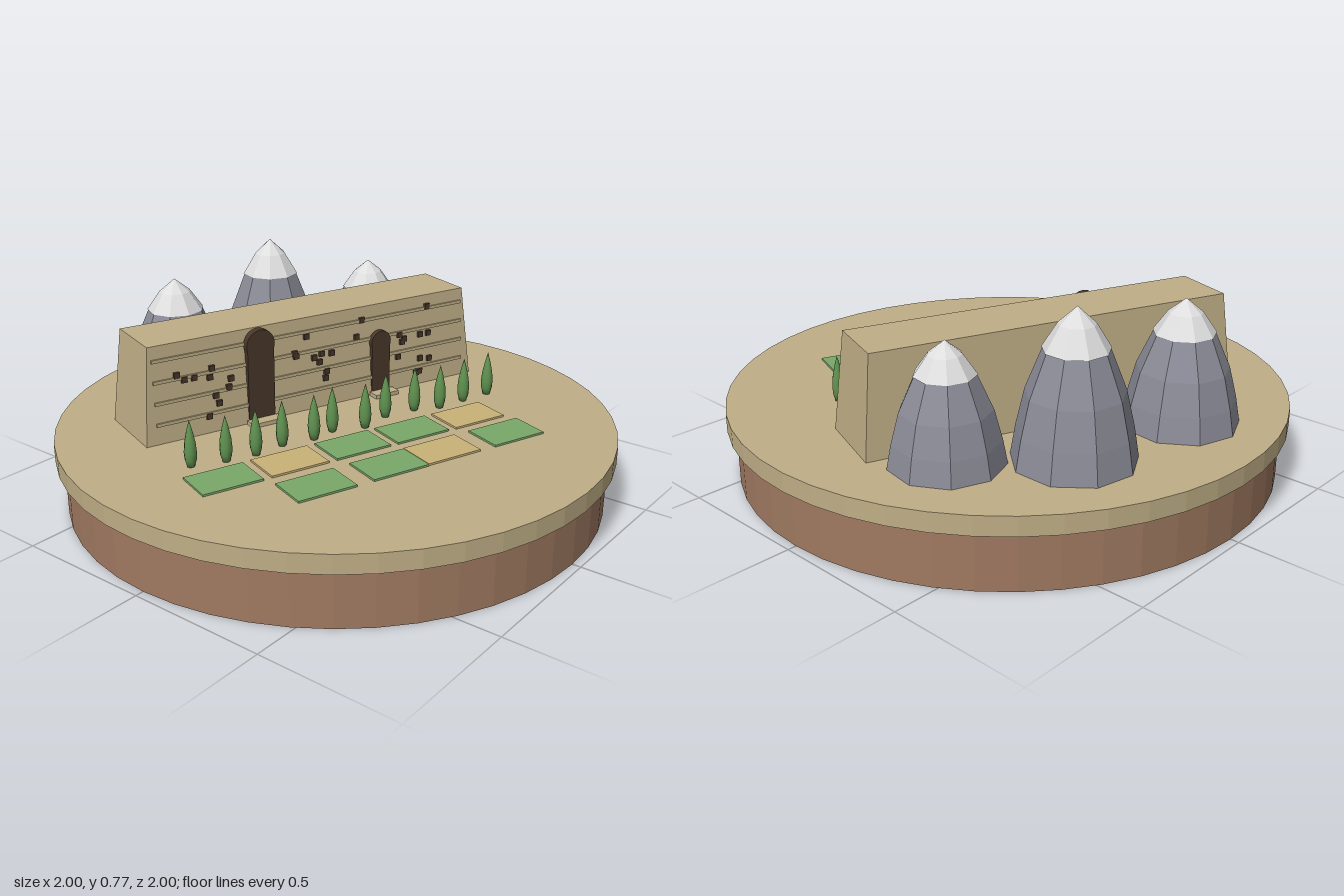
import * as THREE from 'three';

const mat = (name, color) => {
  const m = new THREE.MeshStandardMaterial({ color });
  m.name = name;
  return m;
};

export function createModel() {
  const sand = mat('sandstone', 0xbfae86);
  const soil = mat('soil', 0xa07a61);
  const dark = mat('caveBrown', 0x49372a);
  const rock = mat('mountainRock', 0x8b8b97);
  const snow = mat('snow', 0xdedede);
  const leaf = mat('poplarGreen', 0x5f9350);
  const crop = mat('cropGreen', 0x79a869);
  const wheat = mat('wheat', 0xc9b278);

  const model = new THREE.Group();
  model.name = 'cliffValley';
  const TOP = 0.267, TILT = -0.349;

  const add = (parent, name, geo, material, x = 0, y = 0, z = 0) => {
    const m = new THREE.Mesh(geo, material);
    m.name = name;
    m.position.set(x, y, z);
    parent.add(m);
    return m;
  };
  const box = (w, h, d) => new THREE.BoxGeometry(w, h, d);
  // Faceted copy of a geometry
  const flat = (geo) => {
    const g = geo.toNonIndexed();
    g.computeVertexNormals();
    return g;
  };
  const lathe = (pts, sides) =>
    new THREE.LatheGeometry(pts.map(([r, y]) => new THREE.Vector2(r, y)), sides);

  // Round base
  add(model, 'soilBase', flat(new THREE.CylinderGeometry(0.97, 0.97, 0.2, 48)), soil, 0, 0.1, 0);
  add(model, 'ground', flat(new THREE.CylinderGeometry(1, 1, TOP - 0.2, 48)), sand, 0, (TOP + 0.2) / 2, 0);

  // Cliff: a box narrowed towards its top
  const cliff = new THREE.Group();
  cliff.name = 'cliff';
  cliff.position.set(0.083, TOP, -0.235);
  cliff.rotation.y = TILT;
  model.add(cliff);
  const W = 1.385, H = 0.347, D = 0.29;
  const body = box(W, H, D);
  const p = body.attributes.position;
  for (let i = 0; i < p.count; i++) {
    if (p.getY(i) > 0) {
      p.setX(i, p.getX(i) - Math.sign(p.getX(i)) * 0.033);
      p.setZ(i, p.getZ(i) - Math.sign(p.getZ(i)) * 0.027);
    }
  }
  body.computeVertexNormals();
  add(cliff, 'cliffBody', body, sand, 0, H / 2, 0);
  const faceZ = (h) => D / 2 - 0.027 * h / H;

  // Rock strata along the front
  for (const h of [0.07, 0.145, 0.22, 0.295]) {
    add(cliff, 'stratum', box(1.3, 0.012, 0.02), sand, 0, h, faceZ(h) - 0.004);
  }

  // Arched niches, each with a step at its foot
  for (const [x, r, h, w] of [[-0.245, 0.056, 0.288, 0.105], [0.266, 0.043, 0.205, 0.08]]) {
    const niche = new THREE.Group();
    niche.name = 'niche';
    niche.position.x = x;
    cliff.add(niche);
    add(niche, 'nicheOpening', box(w, h, 0.05), dark, 0, h / 2, 0.122);
    const arch = add(niche, 'nicheArch', new THREE.CylinderGeometry(r, r, 0.05, 20), dark, 0, h, 0.122);
    arch.rotation.x = Math.PI / 2;
    add(niche, 'nicheStep', box(w + 0.022, 0.015, 0.045), sand, 0, 0.0075, 0.172);
  }

  // Small caves: world x and height on the front face
  const caves = [
    [-0.49, 0.5], [-0.465, 0.48], [-0.43, 0.48], [-0.365, 0.5], [-0.375, 0.47], [-0.39, 0.33],
    [-0.36, 0.4], [-0.35, 0.37], [-0.31, 0.42], [-0.3, 0.45], [-0.055, 0.49], [-0.05, 0.48],
    [-0.005, 0.545], [0.02, 0.46], [0.05, 0.47], [0.04, 0.44], [0.065, 0.4], [0.09, 0.465],
    [0.06, 0.375], [0.22, 0.565], [0.195, 0.505], [0.375, 0.48], [0.395, 0.46], [0.365, 0.395],
    [0.385, 0.45], [0.5, 0.57], [0.5, 0.465], [0.5, 0.363], [0.46, 0.37], [0.465, 0.465],
    [0.44, 0.315], [0.455, 0.32],
  ];
  for (const [x, y] of caves) {
    const z = faceZ(y - TOP);
    add(cliff, 'cave', box(0.021, 0.021, 0.02), dark, (x - 0.083 + 0.342 * z) / 0.94, y - TOP, z);
  }

  // Snow-capped mountains behind the cliff
  for (const [x, z, r, h, turn] of [
    [-0.144, -0.655, 0.2, 0.433, 24],
    [0.32, -0.585, 0.205, 0.503, 30],
    [0.605, -0.31, 0.19, 0.403, 20],
  ]) {
    const mountain = new THREE.Group();
    mountain.name = 'mountain';
    mountain.position.set(x, TOP, z);
    mountain.rotation.y = THREE.MathUtils.degToRad(turn);
    model.add(mountain);
    const scaled = (pts) => flat(lathe(pts.map(([a, b]) => [a * r, b * h]), 9));
    add(mountain, 'mountainRock',
      scaled([[1, 0], [0.92, 0.2], [0.78, 0.45], [0.5, 0.74], [0, 0.95]]), rock);
    add(mountain, 'snowCap',
      scaled([[0, 0.73], [0.53, 0.73], [0.29, 0.89], [0, 1]]), snow);
  }

  // Row of poplars
  const poplar = lathe([[0, 0], [0.013, 0], [0.02, 0.025], [0.022, 0.05], [0.019, 0.085],
    [0.011, 0.125], [0, 0.166]], 10);
  for (const [x, z] of [
    [-0.628, -0.114], [-0.527, -0.05], [-0.428, -0.006], [-0.316, 0.014], [-0.208, 0.066],
    [-0.115, 0.073], [-0.016, 0.143], [0.106, 0.143], [0.222, 0.19], [0.3, 0.25],
    [0.412, 0.281], [0.525, 0.315],
  ]) add(model, 'poplar', poplar, leaf, x, TOP, z);

  // Field plots
  for (const [x, z, m] of [
    [-0.637, 0.04, crop], [-0.404, 0.122, wheat], [-0.171, 0.206, crop], [0.06, 0.291, crop],
    [0.292, 0.377, wheat], [-0.487, 0.302, crop], [-0.222, 0.396, crop], [-0.016, 0.468, wheat],
    [0.246, 0.564, crop],
  ]) add(model, 'field', box(0.216, 0.008, 0.147), m, x, TOP + 0.003, z).rotation.y = TILT;

  return model;
}
